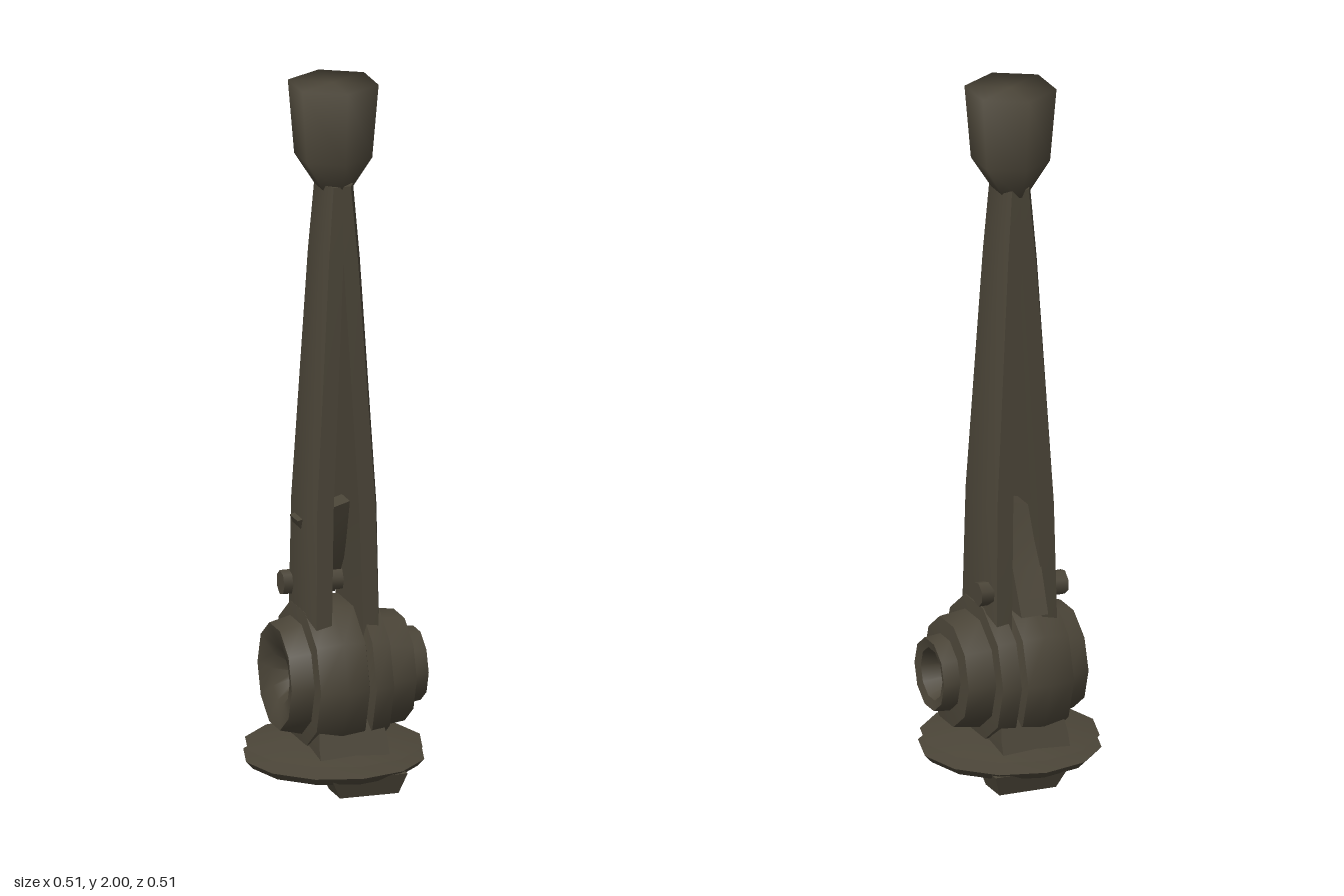
import * as THREE from 'three';
import { toCreasedNormals } from 'three/addons/utils/BufferGeometryUtils.js';

const darkOlive = new THREE.MeshStandardMaterial({ color: 0x4b4538 });
darkOlive.name = 'darkOlive';

function part(name, geometry, crease = 0.8) {
  const mesh = new THREE.Mesh(crease ? toCreasedNormals(geometry, crease) : geometry, darkOlive);
  mesh.name = name;
  return mesh;
}

function lathe(profile, sides) {
  return new THREE.LatheGeometry(profile.map(([r, y]) => new THREE.Vector2(r, y)), sides);
}

// Joins convex cross-sections from bottom to top and caps both ends
function loft(rings) {
  const n = rings[0].length, last = (rings.length - 1) * n, index = [];
  for (let k = 0; k < rings.length - 1; k++) {
    for (let i = 0; i < n; i++) {
      const a = k * n + i, b = k * n + (i + 1) % n;
      index.push(a, b, b + n, a, b + n, a + n);
    }
  }
  for (let i = 1; i < n - 1; i++) {
    index.push(0, i + 1, i, last, last + i, last + i + 1);
  }
  const g = new THREE.BufferGeometry();
  g.setAttribute('position', new THREE.Float32BufferAttribute(rings.flat(2), 3));
  g.setIndex(index);
  g.computeVertexNormals();
  return g;
}

const rect = (x0, x1, y, z0, z1) => [[x0, y, z1], [x1, y, z1], [x1, y, z0], [x0, y, z0]];

export function createModel() {
  const model = new THREE.Group();

  // Six-sided socket at the top, pinched sideways where it meets the arms
  const cup = lathe([[0, 1.69], [0.075, 1.7], [0.11, 1.79], [0.128, 2], [0, 2]], 6);
  const p = cup.attributes.position;
  for (let i = 0; i < p.count; i++) if (p.getY(i) < 1.75) p.setX(i, p.getX(i) * 0.62);
  const socket = part('topSocket', cup, 0);
  socket.position.z = -0.005;
  model.add(socket);

  // Two tapering arms that meet under the socket: [y, inner x, outer x, half depth]
  const armRows = [[0.12, 0.045, 0.105, 0.12], [0.47, 0.045, 0.105, 0.12],
    [0.8, 0.037, 0.1, 0.11], [1.51, 0, 0.057, 0.085], [1.72, 0, 0.04, 0.074]];
  for (const side of [1, -1]) {
    const rings = armRows.map(([y, xi, xo, d]) => {
      const ring = [[xi, d], [xo - 0.015, d], [xo, 0.65 * d], [xo, -0.65 * d], [xo - 0.015, -d], [xi, -d]]
        .map(([x, z]) => [x * side, y, z]);
      return side > 0 ? ring : ring.reverse();
    });
    model.add(part(side > 0 ? 'leftArm' : 'rightArm', loft(rings)));
  }

  // Pivot drum lying across the model, with a through hole and a hub on one end
  const drum = part('pivotDrum', lathe([
    [0.03, -0.1], [0.08, -0.155], [0.15, -0.172], [0.165, -0.11], [0.205, -0.105],
    [0.22, -0.03], [0.212, 0.035], [0.18, 0.045], [0.212, 0.055], [0.205, 0.108],
    [0.165, 0.112], [0.155, 0.19], [0.108, 0.195], [0.103, 0.242], [0.075, 0.235],
    [0.03, 0.1], [0.03, -0.1]], 10));
  drum.rotation.z = -Math.PI / 2;
  drum.position.y = 0.305;
  model.add(drum);

  // Bracket joining the drum to the base
  model.add(part('baseBracket', loft([
    rect(-0.1, 0.1, 0.1, -0.19, 0.19), rect(-0.1, 0.1, 0.14, -0.175, 0.175),
    rect(-0.09, 0.09, 0.21, -0.15, 0.15)])));

  // Thin-edged upper disc and hollow lower disc
  model.add(part('upperDisc', lathe([[0, 0.075], [0.13, 0.085], [0.25, 0.1], [0.14, 0.122], [0, 0.125]], 12)));
  model.add(part('lowerDisc', lathe([
    [0, 0.07], [0.15, 0.065], [0.19, 0.042], [0.235, 0.045], [0.255, 0.066], [0.16, 0.08], [0, 0.08]], 12)));

  // Feet at front and back
  for (const side of [1, -1]) {
    const z = (a, b) => side > 0 ? [a, b] : [-b, -a];
    model.add(part(side > 0 ? 'frontFoot' : 'backFoot', loft([
      rect(-0.05, 0.12, 0, ...z(0.11, 0.205)), rect(-0.08, 0.14, 0.06, ...z(0.1, 0.225))])));
  }

  // Cross pin and the tilted lever it holds
  const pin = part('crossPin', new THREE.CylinderGeometry(0.035, 0.035, 0.26, 7), 1);
  pin.rotation.z = Math.PI / 2;
  pin.position.set(0, 0.55, -0.075);
  model.add(pin);

  model.add(part('lever', loft([
    rect(-0.04, 0.04, 0.5, -0.175, -0.11), rect(-0.045, 0.04, 0.62, -0.115, -0.03),
    [[-0.115, 0.755, 0.03], [0.04, 0.8, 0.03], [0.04, 0.8, -0.04], [-0.115, 0.755, -0.04]]])));

  return model;
}
